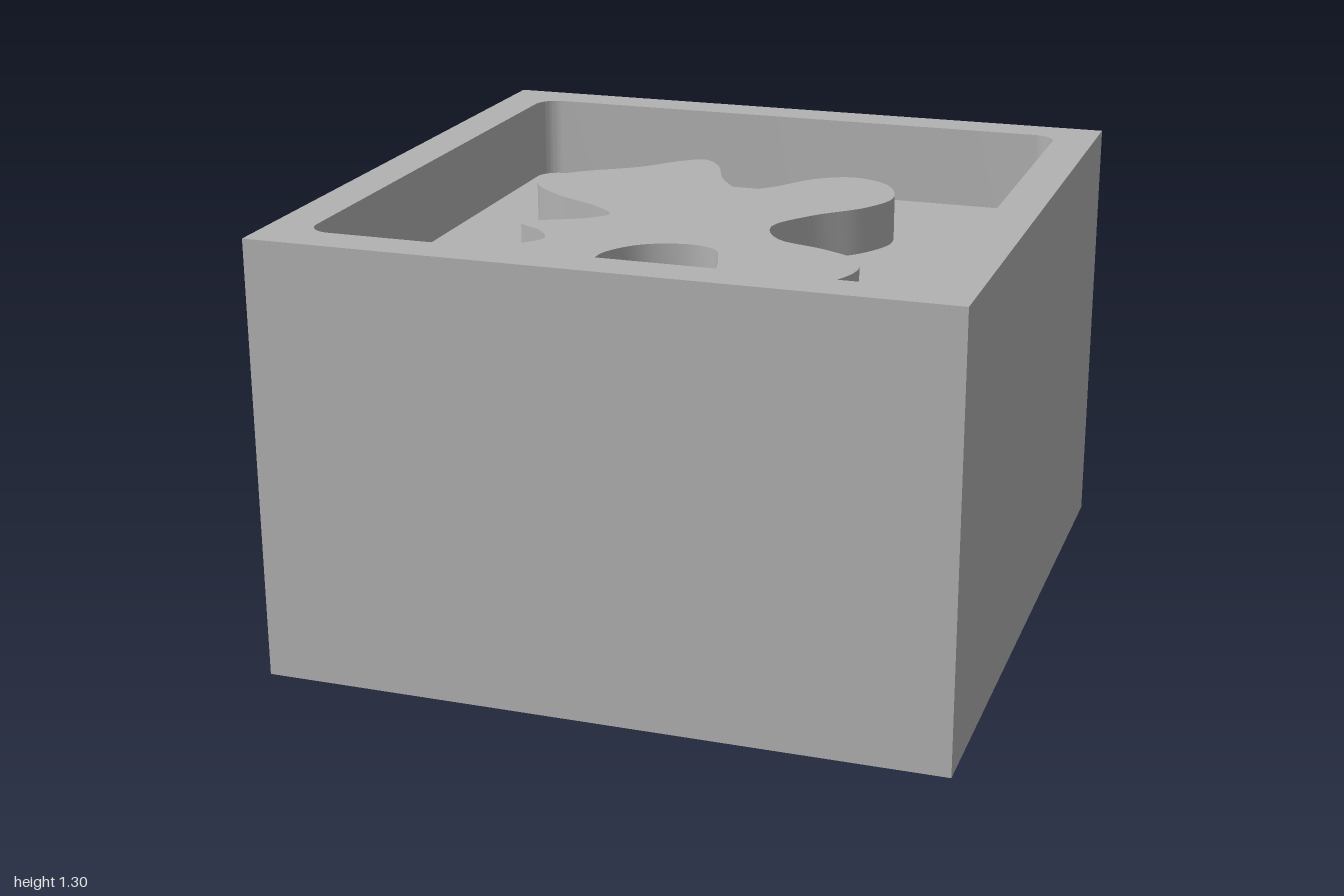
import * as THREE from 'three';
import { toCreasedNormals } from 'three/addons/utils/BufferGeometryUtils.js';

const HEIGHT = 1.3, FLOOR = 1.05, ISLAND_TOP = 1.19;
const INNER = 0.875, RADIUS = 0.07;

// Island outline as [x, z], joined by a smooth closed curve
const OUTLINE = [
  [-0.23, -0.665], [-0.17, -0.61], [-0.09, -0.43], [0, -0.33], [0.08, -0.39],
  [0.18, -0.53], [0.29, -0.585], [0.41, -0.53], [0.47, -0.37], [0.42, -0.24],
  [0.29, -0.1], [0.21, 0.05], [0.27, 0.18], [0.42, 0.24], [0.53, 0.31],
  [0.565, 0.42], [0.5, 0.57], [0.35, 0.64], [0.22, 0.575], [0.165, 0.42],
  [0.13, 0.34], [0.05, 0.31], [-0.08, 0.35], [-0.16, 0.46], [-0.17, 0.58],
  [-0.22, 0.635], [-0.33, 0.645], [-0.46, 0.62], [-0.5, 0.565], [-0.45, 0.48],
  [-0.375, 0.38], [-0.42, 0.3], [-0.5, 0.245], [-0.46, 0.2], [-0.34, 0.135],
  [-0.29, 0.07], [-0.35, 0], [-0.51, -0.09], [-0.62, -0.19], [-0.645, -0.28],
  [-0.57, -0.38], [-0.4, -0.505], [-0.29, -0.63],
];

// Square centred on the origin with rounded corners
function roundedSquare(h, r, path) {
  [[1, 1], [-1, 1], [-1, -1], [1, -1]].forEach(([sx, sy], i) => {
    const a = i * Math.PI / 2;
    path.absarc(sx * (h - r), sy * (h - r), r, a, a + Math.PI / 2, false);
  });
  path.closePath();
  return path;
}

// Upright prism between two heights, smooth around its curves
function prism(name, shape, y0, y1, material) {
  const geometry = new THREE.ExtrudeGeometry(shape, {
    depth: y1 - y0, bevelEnabled: false, curveSegments: 12,
  });
  geometry.rotateX(-Math.PI / 2).translate(0, y0, 0);
  const mesh = new THREE.Mesh(toCreasedNormals(geometry, 0.7), material);
  mesh.name = name;
  return mesh;
}

export function createModel() {
  const grey = new THREE.MeshStandardMaterial({ color: 0xb2b2b2 });
  grey.name = 'plain grey';

  // Square outer walls around a rounded pocket
  const wallShape = new THREE.Shape([[-1, -1], [1, -1], [1, 1], [-1, 1]]
    .map(([x, y]) => new THREE.Vector2(x, y)));
  wallShape.holes.push(roundedSquare(INNER, RADIUS, new THREE.Path()));

  // Solid block filling the pocket up to its floor
  const floorShape = roundedSquare(INNER, RADIUS, new THREE.Shape());

  // Free-form raised island
  const curve = new THREE.CatmullRomCurve3(
    OUTLINE.map(([x, z]) => new THREE.Vector3(x, -z, 0)), true, 'centripetal');
  const points = curve.getPoints(OUTLINE.length * 6).slice(0, -1);
  const islandShape = new THREE.Shape(points.map(p => new THREE.Vector2(p.x, p.y)));

  const model = new THREE.Group();
  model.name = 'blockWithPocket';
  model.add(
    prism('outerWalls', wallShape, 0, HEIGHT, grey),
    prism('pocketFloor', floorShape, 0, FLOOR, grey),
    prism('raisedIsland', islandShape, FLOOR, ISLAND_TOP, grey),
  );
  return model;
}
